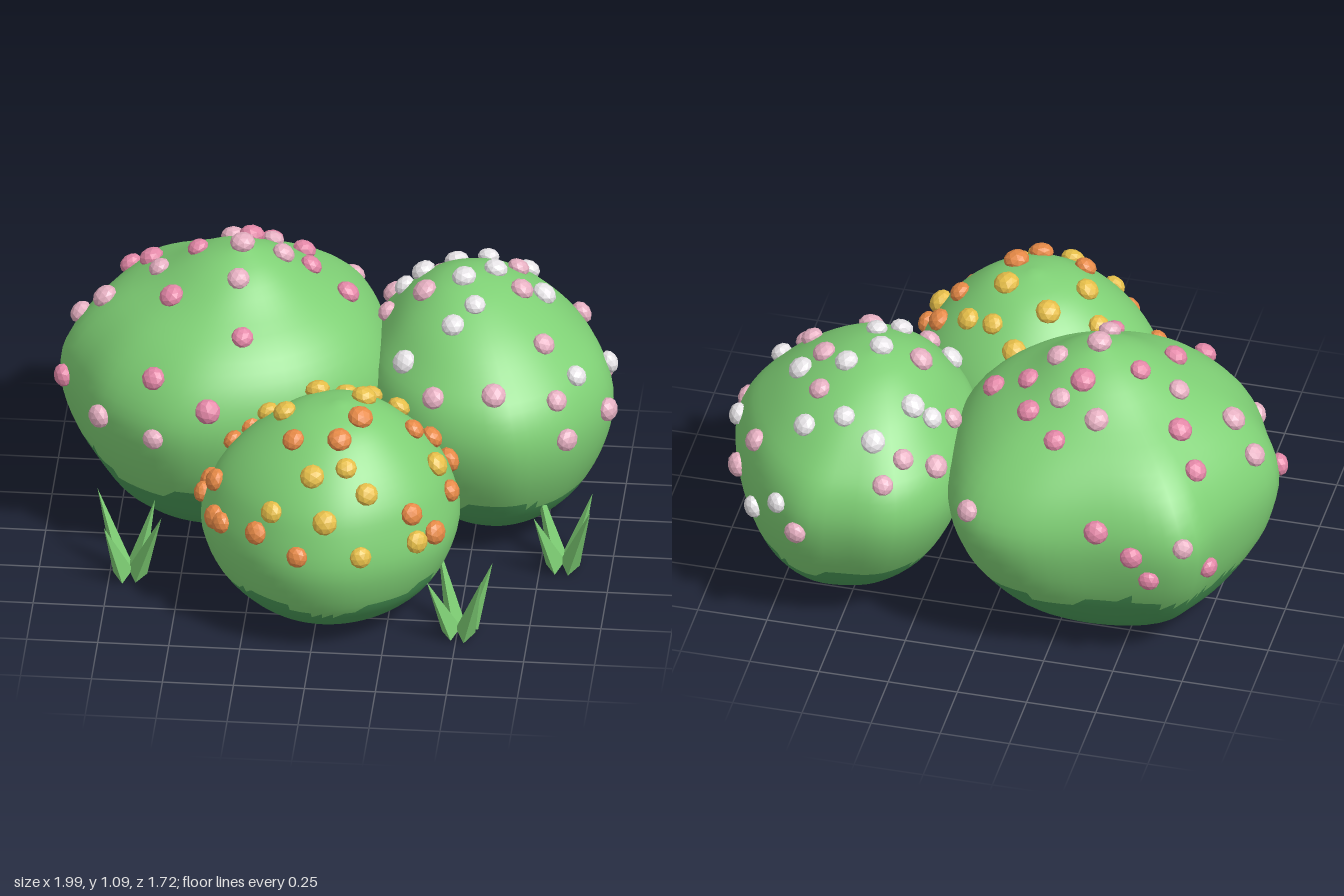
import * as THREE from 'three';
import { mergeVertices } from 'three/addons/utils/BufferGeometryUtils.js';

const BASE = 0.05;
const UP = new THREE.Vector3(0, 1, 0);

const paint = (name, color, flatShading = false) =>
  Object.assign(new THREE.MeshStandardMaterial({ color, flatShading }), { name });

// Lumpy body: the plan [x, z] scaled by a profile [scale, height fraction], drifting towards
// the peak and rounding off to an ellipse where it narrows
function bushGeometry({ plan, profile, peak, skirt }, around = 60, up = 36) {
  const points = plan.map(([x, z]) => new THREE.Vector3(x, 0, z));
  const box = new THREE.Box3().setFromPoints(points);
  const middle = box.getCenter(new THREE.Vector3());
  const half = box.getSize(new THREE.Vector3()).multiplyScalar(0.5).setY(1);
  const edge = new THREE.CatmullRomCurve3(points, true, 'catmullrom').getSpacedPoints(around)
    .map(p => p.sub(middle));
  const oval = edge.map(p => p.clone().divide(half).normalize().multiply(half));
  const side = new THREE.SplineCurve([[0, 0], ...profile, [0, 1]].map(p => new THREE.Vector2(...p)));
  const top = new THREE.Vector3(...peak);
  const pos = [], faces = [];
  for (let i = 0; i <= up; i++) {
    const { x: scale, y: h } = side.getPoint(i / up);
    const centre = middle.clone().lerp(top, h ** 3);
    for (let j = 0; j <= around; j++) {
      const e = oval[j % around].clone().lerp(edge[j % around], scale ** 2);
      pos.push(centre.x + e.x * scale, BASE + (top.y - BASE) * h, centre.z + e.z * scale);
      if (i === up || j === around) continue;
      const p = i * (around + 1) + j, q = p + around + 1;
      faces.push(p, q, p + 1, p + 1, q, q + 1);
    }
  }
  let geo = new THREE.BufferGeometry();
  geo.setAttribute('position', new THREE.Float32BufferAttribute(pos, 3));
  geo.setIndex(faces);
  geo = mergeVertices(geo, 1e-4);

  // Faces below a ragged line belong to the dark skirt
  const P = geo.attributes.position, idx = geo.index.array, leaf = [], shade = [];
  for (let k = 0; k < idx.length; k += 3) {
    const t = [idx[k], idx[k + 1], idx[k + 2]];
    if (new Set(t).size < 3) continue;
    const mid = new THREE.Vector3();
    t.forEach(n => mid.add(new THREE.Vector3().fromBufferAttribute(P, n)));
    mid.divideScalar(3);
    const limit = skirt + 0.025 * Math.sin(mid.x * 13 + mid.z * 5) + 0.012 * Math.sin(mid.z * 31 - mid.x * 11);
    (mid.y < limit ? shade : leaf).push(...t);
  }
  geo.setIndex([...leaf, ...shade]);
  geo.addGroup(0, leaf.length, 0);
  geo.addGroup(leaf.length, shade.length, 1);
  geo.computeVertexNormals();
  return geo;
}

// Index of the body point nearest to (x, z) in plan, above the waist
function nearest(geo, x, z) {
  const P = geo.attributes.position;
  let best = 0, min = Infinity;
  for (let i = 0; i < P.count; i++) {
    const d = Math.hypot(P.getX(i) - x, P.getZ(i) - z);
    if (P.getY(i) > 0.41 && d < min) { min = d; best = i; }
  }
  return best;
}

// Bush with blossoms of two colours seated on its crown at plan spots [x, z]
function makeBush(spec, foliage, petals, blossomGeo) {
  const bush = new THREE.Group();
  bush.name = spec.name;
  const geo = bushGeometry(spec);
  const body = new THREE.Mesh(geo, foliage);
  body.name = 'foliage';
  bush.add(body);
  spec.blossoms.forEach((spots, kind) => spots.forEach(([x, z], n) => {
    const spot = nearest(geo, x, z);
    const normal = new THREE.Vector3().fromBufferAttribute(geo.attributes.normal, spot);
    const blossom = new THREE.Mesh(blossomGeo, petals[kind]);
    blossom.name = 'blossom';
    blossom.position.fromBufferAttribute(geo.attributes.position, spot).addScaledVector(normal, 0.008);
    blossom.quaternion.setFromUnitVectors(UP, normal);
    blossom.rotateY(n * 1.3);
    blossom.scale.setScalar(0.9 + 0.2 * ((n * 0.37) % 1));
    bush.add(blossom);
  }));
  return bush;
}

// Four pointed blades leaning outwards
function makeTuft(x, z, turn, bladeGeo, material) {
  const tuft = new THREE.Group();
  tuft.name = 'grassTuft';
  for (let i = 0; i < 4; i++) {
    const a = turn + i * Math.PI / 2;
    const out = new THREE.Vector3(Math.cos(a), 0, Math.sin(a));
    const blade = new THREE.Mesh(bladeGeo, material);
    blade.name = 'blade';
    blade.position.copy(out).multiplyScalar(0.035).setY(0.016);
    blade.quaternion.setFromUnitVectors(UP, out.multiplyScalar(0.42).add(UP).normalize());
    blade.scale.y = i % 2 ? 0.88 : 1.04;
    tuft.add(blade);
  }
  tuft.position.set(x, 0, z);
  return tuft;
}

export function createModel() {
  const model = new THREE.Group();
  const foliage = [paint('leafGreen', 0x7fd075), paint('shadeGreen', 0x4a9a58)];
  const grass = paint('grassGreen', 0x7ccb72, true);
  const rose = paint('rose', 0xe488a8, true), softPink = paint('softPink', 0xe6b0c2, true);
  const white = paint('white', 0xebe8eb, true);
  const yellow = paint('yellow', 0xe8c04a, true), orange = paint('orange', 0xea8c48, true);
  const blossomGeo = new THREE.IcosahedronGeometry(0.042, 1).scale(1, 0.75, 1);
  const bladeGeo = new THREE.ConeGeometry(0.041, 0.29, 3).translate(0, 0.145, 0);

  model.add(makeBush({
    name: 'largeBush', peak: [-0.33, 1.05, -0.26], skirt: 0.29,
    plan: [[-.98, -.27], [-.86, -.58], [-.77, -.77], [-.45, -.81], [-.15, -.85], [.06, -.75],
      [.17, -.4], [.15, -.08], [-.1, .18], [-.5, .28], [-.78, .14], [-.91, -.07]],
    profile: [[.43, 0], [.63, .06], [.78, .16], [.93, .32], [1, .5], [.93, .64], [.75, .76], [.48, .86], [.24, .95]],
    blossoms: [
      [[-.66, -.78], [-.57, -.81], [-.44, -.79], [-.83, -.65], [-.74, -.54], [-.67, -.44], [-.25, -.63],
        [-.13, -.52], [-.31, -.4], [-.11, -.36], [.04, -.32], [-.47, -.3], [-.97, -.14], [-.55, -.11],
        [-.31, .06], [-.62, .16], [-.41, .25], [-.25, .22]],
      [[-.75, -.77], [.02, -.77], [-.4, -.52], [-.23, -.48], [-.2, -.29], [-.33, -.26], [-.62, -.3],
        [-.9, -.33], [-.82, -.27], [-.33, -.13], [-.79, .14], [-.59, .29]],
    ],
  }, foliage, [rose, softPink], blossomGeo));

  model.add(makeBush({
    name: 'mediumBush', peak: [0.46, 0.93, -0.33], skirt: 0.23,
    plan: [[.13, -.3], [.14, -.6], [.29, -.8], [.48, -.83], [.66, -.82], [.86, -.62],
      [.99, -.27], [.9, 0], [.75, .15], [.6, .2], [.36, .14], [.18, -.06]],
    profile: [[.4, 0], [.6, .06], [.78, .17], [.94, .35], [1, .52], [.94, .66], [.78, .77], [.56, .88], [.28, .966]],
    blossoms: [
      [[.7, -.78], [.82, -.65], [.38, -.67], [.5, -.59], [.63, -.62], [.3, -.5], [.22, -.48], [.55, -.4],
        [.71, -.36], [.95, -.33], [.44, -.3], [.49, -.16], [.43, -.09], [.27, -.04], [.85, -.09]],
      [[.32, -.76], [.64, -.84], [.165, -.6], [.27, -.66], [.83, -.57], [.94, -.48], [.62, -.49], [.63, -.33],
        [.32, -.28], [.75, -.12], [.96, -.14], [.18, -.4], [.38, .1], [.59, .11], [.8, .03], [.84, .09], [.26, .07]],
    ],
  }, foliage, [white, softPink], blossomGeo));

  model.add(makeBush({
    name: 'smallBush', peak: [0.07, 0.82, 0.4], skirt: 0.19,
    plan: [[-.42, .4], [-.33, .2], [-.1, .02], [.13, -.04], [.36, .08], [.48, .28],
      [.46, .53], [.33, .71], [.1, .83], [-.13, .79], [-.34, .6]],
    profile: [[.5, 0], [.72, .065], [.9, .195], [1, .39], [.93, .58], [.81, .71], [.6, .84], [.33, .95]],
    blossoms: [
      [[-.18, .18], [-.02, .09], [.08, .1], [.17, .18], [.25, .23], [-.02, .23], [-.2, .3], [-.13, .4],
        [.15, .33], [-.12, .73], [.01, .67], [.12, .64], [.2, .69], [.05, .78], [.17, .81], [.36, .7], [.4, .44]],
      [[-.31, .3], [-.24, .22], [-.41, .3], [-.42, .38], [-.36, .47], [-.37, .56], [-.31, .62], [-.2, .72],
        [.14, .46], [-.08, .57], [.08, .57], [-.04, .83], [.34, .66], [.42, .6], [.32, .37], [.39, .3],
        [.43, .23], [.46, .42]],
    ],
  }, foliage, [yellow, orange], blossomGeo));

  model.add(makeTuft(-0.68, 0.28, 0.65, bladeGeo, grass));
  model.add(makeTuft(0.51, 0.58, 0.95, bladeGeo, grass));
  model.add(makeTuft(0.83, 0.09, 0.8, bladeGeo, grass));
  return model;
}
